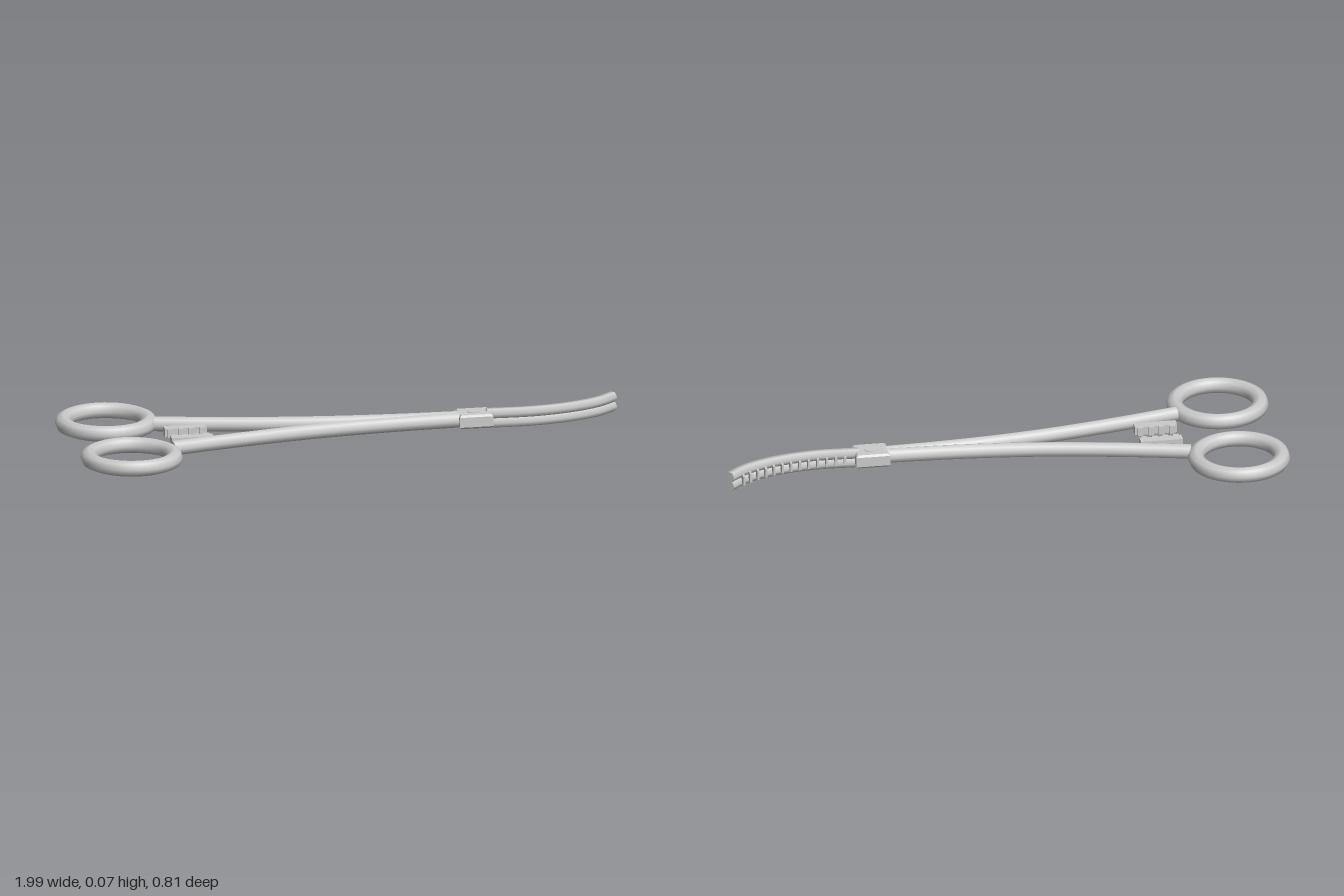
import * as THREE from 'three';

const MID = 0.037; // height of the tool's central plane
const steel = new THREE.MeshStandardMaterial({ color: 0xcccccc });

function add(parent, name, geometry, x = 0, y = 0, z = 0) {
  const mesh = new THREE.Mesh(geometry, steel);
  mesh.name = name;
  mesh.position.set(x, y, z);
  parent.add(mesh);
  return mesh;
}

// Capped rod of constant radius bent along a curve lying in a horizontal plane
function bentRod(curve, radius, sides, segments) {
  const geo = new THREE.CylinderGeometry(radius, radius, 1, sides, segments);
  const pos = geo.attributes.position, nor = geo.attributes.normal;
  const up = new THREE.Vector3(0, 1, 0);
  const v = new THREE.Vector3(), n = new THREE.Vector3(), side = new THREE.Vector3();
  for (let i = 0; i < pos.count; i++) {
    v.fromBufferAttribute(pos, i);
    n.fromBufferAttribute(nor, i);
    const t = THREE.MathUtils.clamp(v.y + 0.5, 0, 1);
    const tangent = curve.getTangentAt(t);
    side.crossVectors(up, tangent);
    const p = curve.getPointAt(t).addScaledVector(up, v.x).addScaledVector(side, v.z);
    pos.setXYZ(i, p.x, p.y, p.z);
    const m = tangent.multiplyScalar(n.y).addScaledVector(up, n.x).addScaledVector(side, n.z);
    nor.setXYZ(i, m.x, m.y, m.z);
  }
  return geo;
}

const planCurve = (points) =>
  new THREE.CatmullRomCurve3(points.map(([x, z]) => new THREE.Vector3(x, 0, z)));

export function createModel() {
  const model = new THREE.Group();
  model.name = 'forceps';

  // Finger rings, shanks and ratchets, mirrored across z = 0
  for (const s of [1, -1]) {
    const half = new THREE.Group();
    half.name = s > 0 ? 'frontHalf' : 'backHalf';
    model.add(half);

    const ring = new THREE.TorusGeometry(0.151, 0.029, 8, 40).rotateX(Math.PI / 2);
    add(half, 'fingerRing', ring, -0.82, 0.036, s * 0.2245);

    const path = planCurve([
      [-0.66, 0.158 * s], [-0.45, 0.109 * s], [-0.2, 0.061 * s],
      [0, 0.035 * s], [0.2, 0.019 * s], [0.42, 0.01 * s],
    ]);
    add(half, 'shank', bentRod(path, 0.027, 8, 28), 0, 0.039, 0);

    // Ratchet bar with teeth facing the opposite bar
    add(half, 'ratchetBar', new THREE.BoxGeometry(0.15, 0.03, 0.036), -0.57, MID, s * 0.061);
    for (let i = 0; i < 4; i++) {
      add(half, 'ratchetTooth', new THREE.BoxGeometry(0.02, 0.03, 0.012),
        -0.627 + i * 0.038, MID, s * 0.039);
    }
  }

  // Box joint with bevelled edges
  const b = 0.007, hx = 0.06 - b, hz = 0.051 - b;
  const plate = new THREE.Shape([
    new THREE.Vector2(-hx, -hz), new THREE.Vector2(hx, -hz),
    new THREE.Vector2(hx, hz), new THREE.Vector2(-hx, hz),
  ]);
  const box = new THREE.ExtrudeGeometry(plate, {
    depth: 0.05 - 2 * b, bevelEnabled: true, bevelSize: b, bevelThickness: b, bevelSegments: 1,
  });
  box.center().rotateX(-Math.PI / 2);
  add(model, 'boxJoint', box, 0.455, 0.039, -0.002);
  add(model, 'pivotScrew', new THREE.CylinderGeometry(0.023, 0.023, 0.054, 16), 0.455, 0.039, -0.002);

  // Curved jaws, stacked one above the other
  const jawPath = planCurve([
    [0.5, -0.003], [0.65, 0.002], [0.76, -0.012], [0.85, -0.038], [0.92, -0.073], [0.979, -0.123],
  ]);
  for (const [name, y] of [['lowerJaw', 0.0203], ['upperJaw', 0.0537]]) {
    add(model, name, bentRod(jawPath, 0.0195, 6, 24), 0, y, 0);
  }

  // Thin gripping teeth along the inside of the bend
  const count = 13;
  for (let i = 0; i < count; i++) {
    const f = i / (count - 1);
    const p = jawPath.getPointAt(0.1 + 0.77 * f);
    const reach = 0.026 + 0.026 * f;
    add(model, 'jawTooth', new THREE.BoxGeometry(0.008, 0.032, reach), p.x, MID, p.z - reach / 2);
  }

  return model;
}
